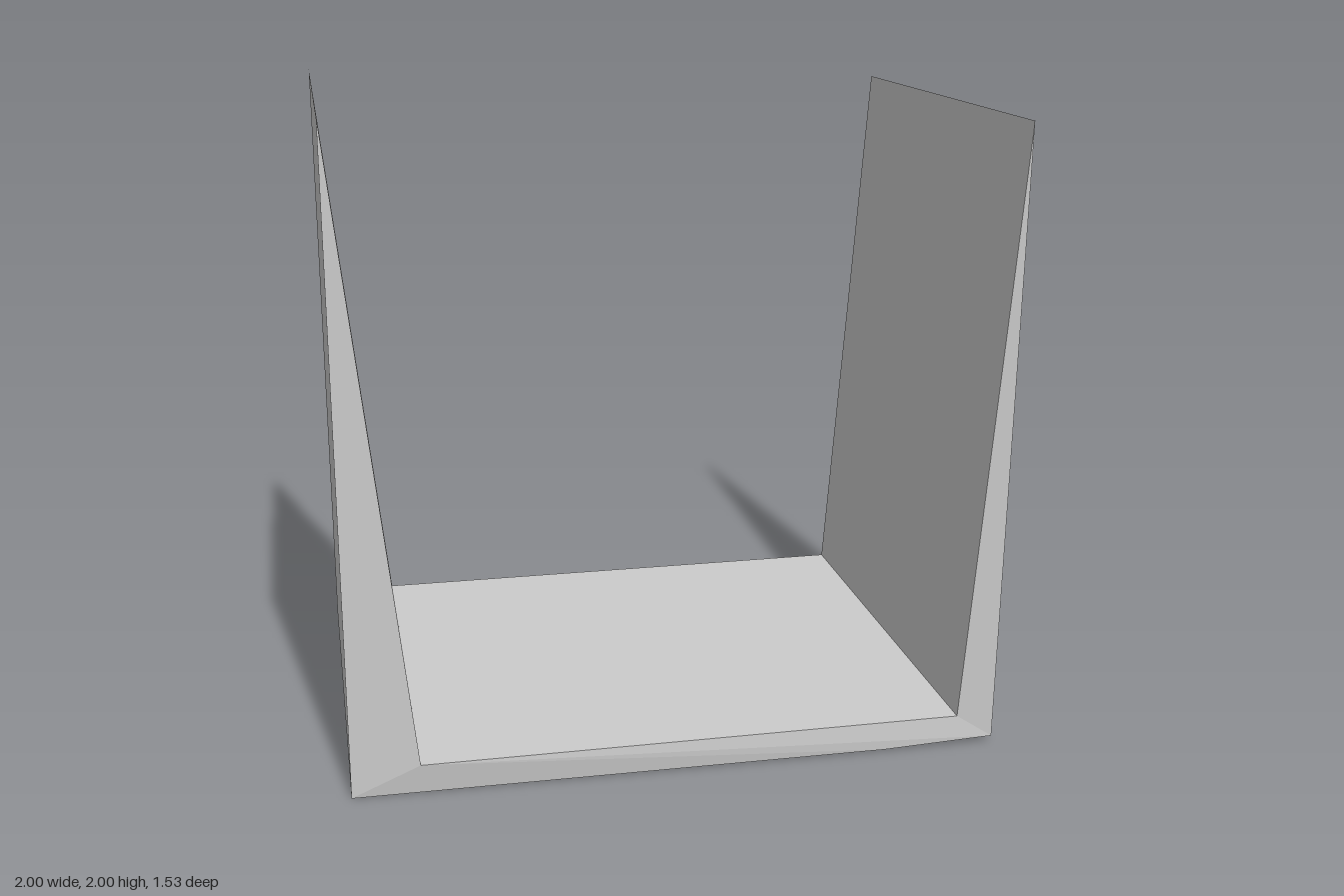
import * as THREE from 'three';

// U-shaped cross-section, counter-clockwise from the front: x, y, front z, back z
const SECTION = [
  [-0.99, 0, 0.7, -0.76],        // 0 bottom left
  [0.65, 0.005, 0.705, -0.76],   // 1 underside bend
  [1, 0.02, 0.705, -0.76],       // 2 bottom right
  [1, 1.95, 0.765, -0.7],        // 3 right wall top
  [0.885, 0.095, 0.7, -0.765],   // 4 inner right corner
  [-0.785, 0.095, 0.715, -0.75], // 5 inner left corner
  [-1, 2, 0.7, -0.765],          // 6 left wall top
];

// End faces as triangles of section points
const CAP = [[6, 0, 5], [5, 0, 1], [5, 1, 2], [5, 2, 4], [4, 2, 3]];

function channelGeometry() {
  const positions = [];
  const front = (i) => [SECTION[i][0], SECTION[i][1], SECTION[i][2]];
  const back = (i) => [SECTION[i][0], SECTION[i][1], SECTION[i][3]];
  const triangle = (a, b, c) => positions.push(...a, ...b, ...c);

  // Walls, floor and underside
  for (let i = 0; i < SECTION.length; i++) {
    const j = (i + 1) % SECTION.length;
    triangle(front(i), back(i), back(j));
    triangle(front(i), back(j), front(j));
  }
  // Front and back ends
  for (const [a, b, c] of CAP) {
    triangle(front(a), front(b), front(c));
    triangle(back(a), back(c), back(b));
  }

  const geometry = new THREE.BufferGeometry();
  geometry.setAttribute('position', new THREE.Float32BufferAttribute(positions, 3));
  geometry.computeVertexNormals();
  return geometry;
}

export function createModel() {
  const group = new THREE.Group();
  group.name = 'openChannel';
  const material = new THREE.MeshStandardMaterial({ color: 0xcccccc, flatShading: true });
  const channel = new THREE.Mesh(channelGeometry(), material);
  channel.name = 'floorAndTaperedWalls';
  group.add(channel);
  return group;
}
